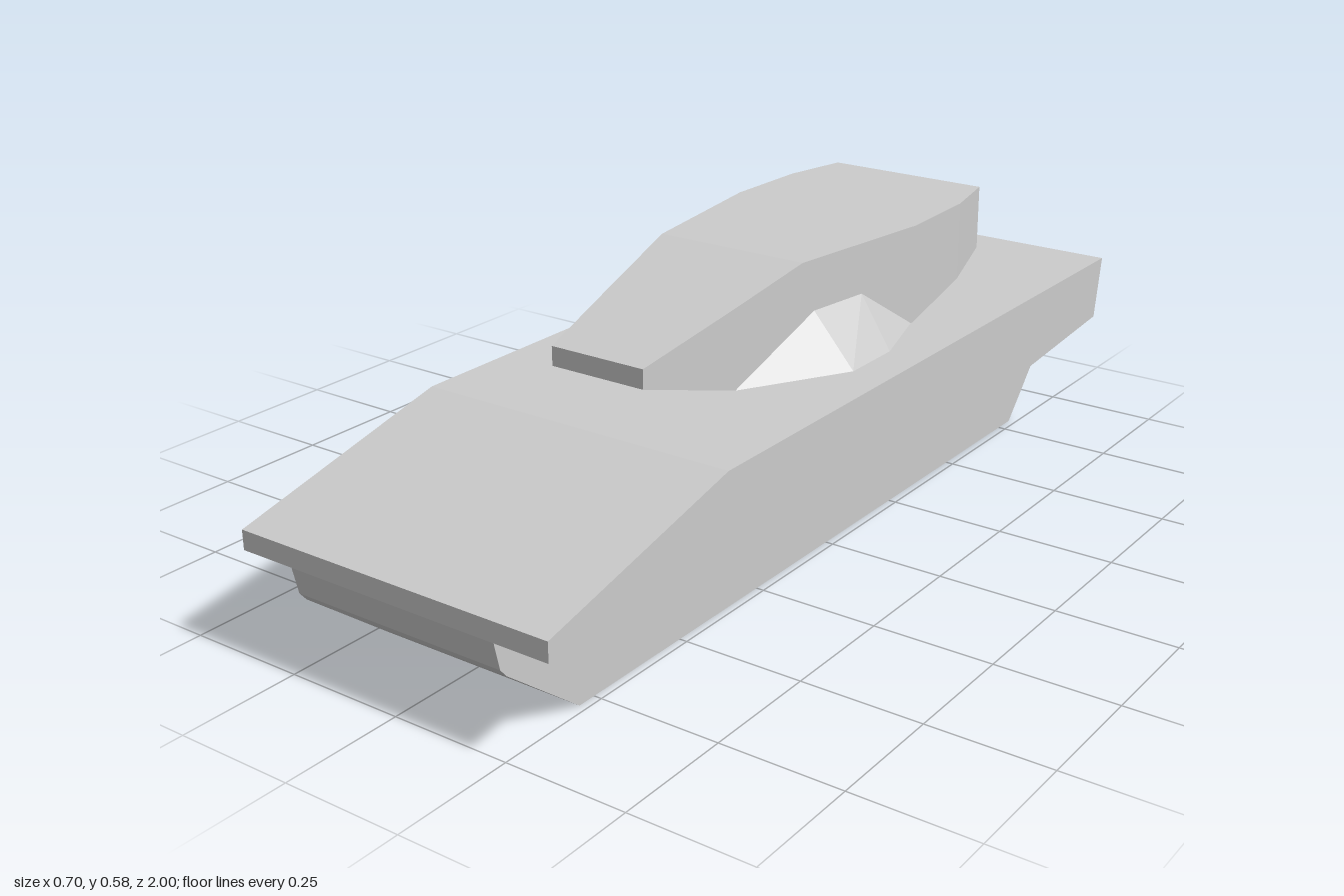
import * as THREE from 'three';
import { ConvexGeometry } from 'three/addons/geometries/ConvexGeometry.js';

const material = new THREE.MeshStandardMaterial({ color: 0xcccccc, flatShading: true });

function part(name, geometry) {
  const mesh = new THREE.Mesh(geometry, material);
  mesh.name = name;
  return mesh;
}

// Side profile of [z, y] points, extruded across x
function slab(name, profile, halfWidth) {
  const shape = new THREE.Shape(profile.map(([z, y]) => new THREE.Vector2(z, y)));
  const geometry = new THREE.ExtrudeGeometry(shape, { depth: 2 * halfWidth, bevelEnabled: false });
  geometry.rotateY(-Math.PI / 2);
  geometry.translate(halfWidth, 0, 0);
  return part(name, geometry);
}

// Rectangular sections [z, halfWidth, bottom, top], joined from front to back
function loft(name, sections) {
  const rings = sections.map(([z, w, b, t]) => [[-w, b, z], [w, b, z], [w, t, z], [-w, t, z]]);
  const positions = [];
  const quad = (a, b, c, d) => positions.push(...a, ...b, ...c, ...a, ...c, ...d);
  for (let i = 0; i < rings.length - 1; i++) {
    const f = rings[i], r = rings[i + 1];
    for (let j = 0; j < 4; j++) {
      const k = (j + 1) % 4;
      quad(f[j], r[j], r[k], f[k]);
    }
  }
  const last = rings[rings.length - 1];
  quad(...rings[0]);
  quad(last[1], last[0], last[3], last[2]);
  const geometry = new THREE.BufferGeometry();
  geometry.setAttribute('position', new THREE.Float32BufferAttribute(positions, 3));
  geometry.computeVertexNormals();
  return part(name, geometry);
}

export function createModel() {
  const model = new THREE.Group();
  model.name = 'tank';

  // Wide deck with sloped nose and overhanging sides
  model.add(slab('upperHull', [
    [1, 0.257], [0.51, 0.372], [-1, 0.372], [-0.975, 0.235], [-0.55, 0.2],
    [0.1, 0.2], [0.57, 0.205], [0.78, 0.235], [0.88, 0.235], [1, 0.217],
  ], 0.352));

  // Narrow belly between the overhangs
  model.add(slab('lowerHull', [
    [0.998, 0.218], [0.985, 0.16], [0.97, 0.142], [0.79, 0], [-0.8, 0],
    [-0.975, 0.19], [-0.975, 0.236], [-0.9, 0.3], [0.5, 0.3],
  ], 0.234));

  const turret = new THREE.Group();
  turret.name = 'turret';
  turret.position.x = -0.004;
  turret.add(loft('turretBody', [
    [0.43, 0.108, 0.442, 0.482],
    [0.19, 0.145, 0.372, 0.539],
    [0, 0.172, 0.372, 0.585],
    [-0.35, 0.223, 0.372, 0.585],
    [-0.55, 0.217, 0.415, 0.585],
    [-0.695, 0.186, 0.445, 0.585],
  ]));

  // Sloped faceted cheeks on both turret sides
  for (const side of [1, -1]) {
    const points = [
      [0.145, 0.372, 0.19], [0.275, 0.372, -0.03], [0.275, 0.372, -0.17], [0.222, 0.372, -0.345],
      [0.178, 0.478, -0.035], [0.199, 0.478, -0.18],
    ].map(([x, y, z]) => new THREE.Vector3(side * x, y, z));
    turret.add(part(side > 0 ? 'leftCheek' : 'rightCheek', new ConvexGeometry(points)));
  }
  model.add(turret);
  return model;
}
